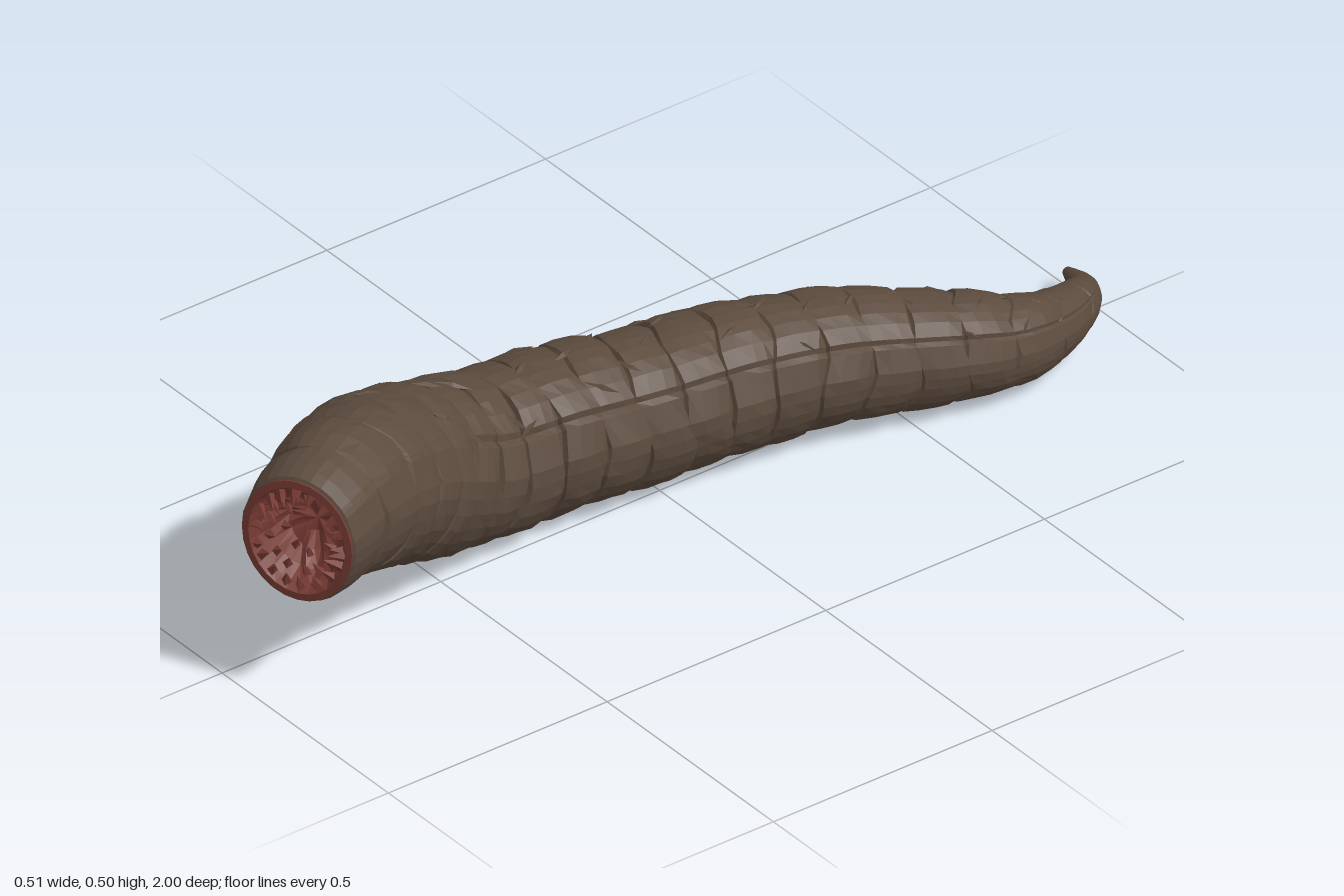
import * as THREE from 'three';

const skin = new THREE.MeshStandardMaterial({ color: 0x5c4b3e });
skin.name = 'brown skin';
const flesh = new THREE.MeshStandardMaterial({ color: 0x783b34 });
flesh.name = 'red flesh';

// Spine from mouth to tail tip: x, y, z, radius
const SPINE = [
  [0.153, 0.347, 0.943, 0.132], [0.095, 0.346, 0.826, 0.146], [0.022, 0.304, 0.705, 0.156],
  [-0.043, 0.243, 0.585, 0.163], [-0.085, 0.189, 0.455, 0.162], [-0.098, 0.164, 0.34, 0.156],
  [-0.095, 0.157, 0.2, 0.154], [-0.071, 0.147, 0, 0.144], [-0.045, 0.145, -0.2, 0.138],
  [0.003, 0.137, -0.4, 0.124], [0.081, 0.112, -0.62, 0.102], [0.105, 0.097, -0.72, 0.085],
  [0.093, 0.084, -0.82, 0.065], [0.055, 0.074, -0.91, 0.046], [0.003, 0.058, -0.965, 0.029],
  [-0.08, 0.042, -0.992, 0.009],
];
const curve = new THREE.CatmullRomCurve3(SPINE.map(([x, y, z]) => new THREE.Vector3(x, y, z)));
curve.arcLengthDivisions = 800;

let seed = 11;
const rand = () => (seed = (seed * 16807) % 2147483647) / 2147483647;

const SIDES = 32;
const SEGMENTS = 22;
const HEAD_WIDTH = 0.88;

// Position, radii and axes of the body at a fraction of its length
function frame(u) {
  const t = curve.getUtoTmapping(u);
  const k = Math.min(t * (SPINE.length - 1), SPINE.length - 1.0001);
  const i = Math.floor(k);
  const radius = THREE.MathUtils.lerp(SPINE[i][3], SPINE[i + 1][3], k - i);
  const width = radius * THREE.MathUtils.lerp(HEAD_WIDTH, 1, THREE.MathUtils.smoothstep(u, 0, 0.16));
  const along = curve.getTangent(t);
  const side = along.clone().cross(new THREE.Vector3(0, 1, 0)).normalize();
  const up = side.clone().cross(along);
  return { centre: curve.getPoint(t), radius, width, along, side, up };
}

function surfacePoint(u, angle, scale) {
  const { centre, radius, width, side, up } = frame(u);
  const p = centre.clone()
    .addScaledVector(side, Math.cos(angle) * width * scale)
    .addScaledVector(up, Math.sin(angle) * radius * scale);
  p.y = Math.max(p.y, 0);
  return p;
}

// Unshared corners give faceted shading
function faceted(geometry) {
  const g = geometry.index ? geometry.toNonIndexed() : geometry;
  g.computeVertexNormals();
  return g;
}

function add(parent, name, geometry, material) {
  const mesh = new THREE.Mesh(faceted(geometry), material);
  mesh.name = name;
  parent.add(mesh);
  return mesh;
}

// Column angles, drawn together beside the groove on each upper flank
const ANGLES = Array.from({ length: SIDES }, (_, j) => (j / SIDES) * Math.PI * 2);
[[2, 33], [3, 38], [4, 42]].forEach(([j, degrees]) => {
  ANGLES[j] = THREE.MathUtils.degToRad(degrees);
  ANGLES[SIDES / 2 - j] = Math.PI - ANGLES[j];
});

// Body of overlapping ringed folds with a groove along each upper flank
function bodyGeometry() {
  const fold = [[0, 0.94], [0.05, 0.995], [0.35, 1.02], [0.7, 1.02], [0.95, 1.0]];
  const rings = [];
  for (let s = 0; s < SEGMENTS; s++)
    for (const [f, scale] of fold) rings.push([(s + f) / SEGMENTS, scale, s]);
  rings.push([1, 0.02, SEGMENTS]);

  const positions = [], index = [];
  for (const [u, scale, s] of rings) {
    const fade = THREE.MathUtils.smoothstep(1 - u, 0, 0.14);
    const calm = fade * THREE.MathUtils.smoothstep(u, 0, 0.08);
    for (let j = 0; j < SIDES; j++) {
      const a = ANGLES[j];
      const shift = calm * (0.005 * Math.sin(2 * a + s * 0.9) + 0.003 * Math.sin(5 * a + s * 2.1));
      let r = u === 1 ? scale : 1 + (scale - 1) * (0.35 + 0.65 * fade);
      r += calm * (0.012 * Math.sin(3 * a + s * 2.3) + 0.02 * (rand() - 0.5));
      if (u > 0.24 && u < 0.95 && (j === 3 || j === SIDES / 2 - 3)) r -= 0.05;
      positions.push(...surfacePoint(THREE.MathUtils.clamp(u + shift, 0, 1), a, r).toArray());
    }
  }
  for (let i = 0; i < rings.length - 1; i++)
    for (let j = 0; j < SIDES; j++) {
      const k = (j + 1) % SIDES;
      const a = i * SIDES + j, b = i * SIDES + k, c = a + SIDES, d = b + SIDES;
      index.push(a, c, b, b, c, d);
    }
  const g = new THREE.BufferGeometry();
  g.setAttribute('position', new THREE.Float32BufferAttribute(positions, 3));
  g.setIndex(index);
  return g;
}

// Low creases lying slantwise over the back
function addWrinkles(parent) {
  const wrinkles = new THREE.Group();
  wrinkles.name = 'backWrinkles';
  for (let i = 0; i < 40; i++) {
    const u = 0.15 + (0.77 * (i + rand() * 0.6)) / 40;
    const angle = Math.PI / 2 + (rand() - 0.5) * 1.7;
    const { radius, along, side, up } = frame(u);
    const out = side.clone().multiplyScalar(Math.cos(angle)).addScaledVector(up, Math.sin(angle));
    const turn = (i % 2 ? 1 : -1) * (0.4 + rand() * 0.5);
    const dir = along.clone().applyAxisAngle(out, turn);
    const across = out.clone().cross(dir);
    const mesh = add(wrinkles, 'wrinkle', new THREE.OctahedronGeometry(1), skin);
    mesh.quaternion.setFromRotationMatrix(new THREE.Matrix4().makeBasis(across, out, dir));
    mesh.scale.set(radius * 0.05, radius * 0.045, radius * 0.24);
    mesh.position.copy(surfacePoint(u, angle, 0.995));
  }
  parent.add(wrinkles);
}

// Sunken mouth lined with rings of inward-pointing teeth
function mouth() {
  const group = new THREE.Group();
  group.name = 'mouth';
  const profile = [[0.124, -0.012], [0.127, 0.004], [0.112, 0.005], [0.1, -0.012], [0.085, -0.04],
    [0.06, -0.065], [0.03, -0.08], [0, -0.085]].map(([x, y]) => new THREE.Vector2(x, y));
  const lining = new THREE.LatheGeometry(profile, 28);
  const p = lining.attributes.position;
  for (let i = 0; i < p.count; i++) {
    const x = p.getX(i), z = p.getZ(i), r = Math.hypot(x, z);
    if (r < 0.11) p.setY(i, p.getY(i) + 0.008 * Math.sin(x * 130 + z * 60) * Math.cos(z * 110));
  }
  add(group, 'mouthLining', lining, flesh);

  // Each row: count, ring radius, depth, tooth length, tooth width
  const rows = [[18, 0.102, -0.006, 0.036, 0.013], [15, 0.086, -0.03, 0.036, 0.012], [9, 0.062, -0.058, 0.024, 0.01]];
  const yAxis = new THREE.Vector3(0, 1, 0);
  rows.forEach(([count, radius, depth, length, width], row) => {
    for (let i = 0; i < count; i++) {
      const a = ((i + row * 0.5 + rand() * 0.4) / count) * Math.PI * 2;
      const dir = new THREE.Vector3(-Math.cos(a), 0.35 + rand() * 0.3, -Math.sin(a)).normalize();
      const size = length * (0.75 + rand() * 0.5);
      const tooth = add(group, 'tooth', new THREE.ConeGeometry(width, size, 4), flesh);
      tooth.quaternion.setFromUnitVectors(yAxis, dir);
      tooth.position.set(radius * Math.cos(a), depth, radius * Math.sin(a)).addScaledVector(dir, size * 0.3);
    }
  });

  const { centre, along, side, up } = frame(0);
  const basis = new THREE.Matrix4().makeBasis(side, along.clone().negate(), up.clone().negate());
  group.quaternion.setFromRotationMatrix(basis);
  group.scale.x = HEAD_WIDTH;
  group.position.copy(centre);
  return group;
}

export function createModel() {
  seed = 11;
  const model = new THREE.Group();
  model.name = 'worm';
  add(model, 'ringedBody', bodyGeometry(), skin);
  addWrinkles(model);
  model.add(mouth());
  return model;
}
